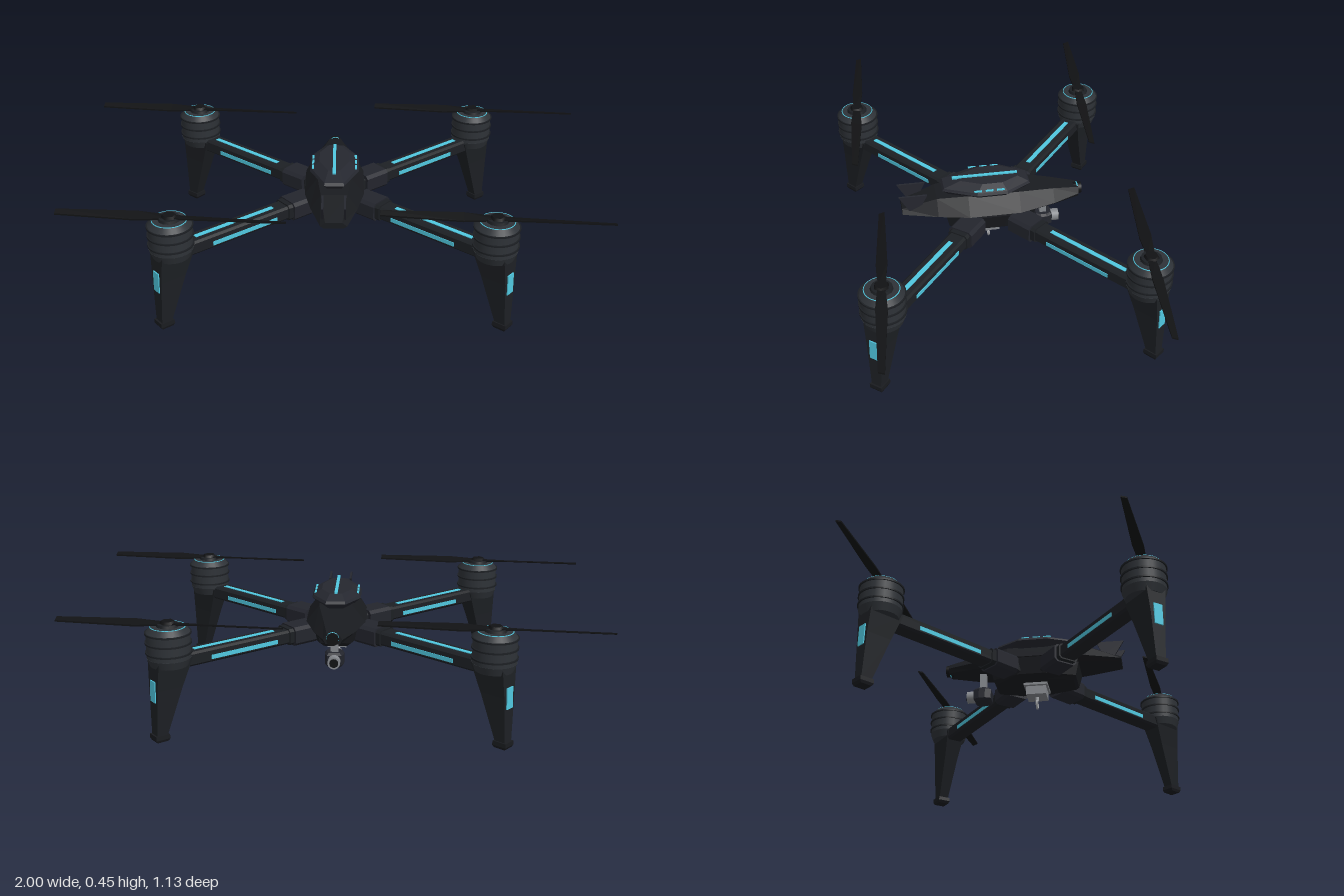
import * as THREE from 'three';

const mat = (color) => new THREE.MeshStandardMaterial({ color });
const M = {
  hull: mat(0x191b1f), arm: mat(0x1d2024), joint: mat(0x23252d), canopy: mat(0x25272f),
  motor: mat(0x2e3237), rib: mat(0x1c1f23), prop: mat(0x111214), glow: mat(0x50c8e0),
  grey: mat(0x85888d), pale: mat(0xa5a8ac),
};

function add(parent, name, geometry, material, x = 0, y = 0, z = 0) {
  const mesh = new THREE.Mesh(geometry, material);
  mesh.name = name;
  mesh.position.set(x, y, z);
  parent.add(mesh);
  return mesh;
}
const box = (w, h, d) => new THREE.BoxGeometry(w, h, d);
const cyl = (rTop, rBottom, h, n = 28) => new THREE.CylinderGeometry(rTop, rBottom, h, n);

// Flat-shaded skin over closed rings, each counter-clockwise about the loft axis
function loft(rings) {
  const pos = [];
  const tri = (a, b, c) => pos.push(...a, ...b, ...c);
  const n = rings[0].length;
  for (let s = 0; s < rings.length - 1; s++) {
    for (let i = 0; i < n; i++) {
      const j = (i + 1) % n;
      tri(rings[s][i], rings[s][j], rings[s + 1][j]);
      tri(rings[s][i], rings[s + 1][j], rings[s + 1][i]);
    }
  }
  const first = rings[0], last = rings[rings.length - 1];
  for (let i = 1; i < n - 1; i++) {
    tri(first[0], first[i + 1], first[i]);
    tri(last[0], last[i], last[i + 1]);
  }
  const g = new THREE.BufferGeometry();
  g.setAttribute('position', new THREE.Float32BufferAttribute(pos, 3));
  g.computeVertexNormals();
  return g;
}

// Eight-sided plan outline at height y
const plan = (y, w, zf, zb, end = 0.4) => [
  [w * end, y, zf], [w, y, zf * 0.35], [w, y, zb * 0.35], [w * end, y, zb],
  [-w * end, y, zb], [-w, y, zb * 0.35], [-w, y, zf * 0.35], [-w * end, y, zf],
];
// Rectangle at height y, from x0 to x1
const rect = (y, x0, x1, w) => [[x1, y, w], [x1, y, -w], [x0, y, -w], [x0, y, w]];

function createBody() {
  const g = new THREE.Group();
  g.name = 'body';
  // Faceted upper hull: z, half width, top half width, bottom, middle, top
  const hull = [
    [-0.345, 0.036, 0.022, 0.325, 0.342, 0.364], [-0.24, 0.078, 0.04, 0.32, 0.338, 0.382],
    [-0.1, 0.115, 0.065, 0.315, 0.335, 0.4], [0.1, 0.115, 0.065, 0.315, 0.335, 0.402],
    [0.22, 0.09, 0.05, 0.32, 0.335, 0.393], [0.355, 0.05, 0.032, 0.325, 0.333, 0.348],
  ].map(([z, w, t, b, m, top]) => [
    [w, m, z], [t, top, z], [-t, top, z], [-w, m, z], [-w * 0.75, b, z], [w * 0.75, b, z],
  ]);
  add(g, 'upperHull', loft(hull), M.hull);
  add(g, 'lowerHull', loft([
    plan(0.25, 0.075, 0.165, -0.145, 0.6), plan(0.265, 0.1, 0.175, -0.155, 0.6),
    plan(0.33, 0.118, 0.19, -0.17, 0.6),
  ]), M.hull);
  add(g, 'canopy', loft([
    plan(0.39, 0.065, 0.165, -0.12), plan(0.418, 0.095, 0.197, -0.147),
    plan(0.428, 0.09, 0.19, -0.14), plan(0.448, 0.058, 0.125, -0.1),
  ]), M.canopy);
  add(g, 'canopyLight', box(0.012, 0.008, 0.256), M.glow, 0, 0.449, 0.026);

  // Nose sensor
  const nose = add(g, 'noseSensor', cyl(0.023, 0.023, 0.03), M.prop, 0, 0.346, -0.345);
  nose.rotation.x = Math.PI / 2;
  add(g, 'noseRing', new THREE.TorusGeometry(0.022, 0.003, 8, 28), M.glow, 0, 0.346, -0.343);

  // Swept tail fins, side dashes
  const fin = new THREE.Shape([[0.285, 0.352], [0.328, 0.345], [0.367, 0.411], [0.257, 0.411]]
    .map(([z, y]) => new THREE.Vector2(z, y)));
  for (const s of [-1, 1]) {
    const geo = new THREE.ExtrudeGeometry(fin, { depth: 0.008, bevelEnabled: false });
    add(g, 'tailFin', geo, M.canopy, s * 0.042 + 0.004).rotation.y = -Math.PI / 2;
    for (const z of [-0.03, 0.025, 0.08])
      add(g, 'canopyDash', box(0.008, 0.004, 0.03), M.glow, s * 0.083, 0.433, z * 0.8);
    add(g, 'hullDash', box(0.006, 0.005, 0.02), M.glow, s * 0.114, 0.329, 0.085);
  }
  return g;
}

// Arm, motor and leg, built along +x
function createArm() {
  const g = new THREE.Group();
  g.name = 'arm';
  const R = 0.755;
  // Chamfered beam
  const section = (x, w, h, c) => [
    [h, w - c], [h - c, w], [c - h, w], [-h, w - c], [-h, c - w], [c - h, -w], [h - c, -w], [h, c - w],
  ].map(([y, z]) => [x, 0.296 + y, z]).reverse().map((p) => p);
  const beam = (x0, x1, w, h, c) => loft([section(x0, w, h, c), section(x1, w, h, c)].map((r) => r.reverse()));
  add(g, 'beam', beam(0.08, R, 0.036, 0.027, 0.008), M.arm);
  add(g, 'socket', beam(0.13, 0.235, 0.05, 0.037, 0.012), M.joint);
  add(g, 'socketCollar', beam(0.235, 0.255, 0.042, 0.032, 0.01), M.rib);
  add(g, 'topLight', box(0.35, 0.005, 0.018), M.glow, 0.48, 0.323);
  for (const s of [-1, 1])
    add(g, 'sideLight', box(0.29, 0.016, 0.005), M.glow, 0.455, 0.29, s * 0.036);

  // Tapered leg with foot and outer light panel
  add(g, 'leg', loft([
    rect(0.022, 0.786, 0.829, 0.02), rect(0.2, 0.722, 0.825, 0.031), rect(0.31, 0.68, 0.82, 0.042),
  ]), M.arm);
  add(g, 'foot', loft([
    rect(0, 0.785, 0.83, 0.022), rect(0.01, 0.778, 0.836, 0.026), rect(0.026, 0.78, 0.836, 0.025),
  ]), M.hull);
  add(g, 'legLight', box(0.006, 0.08, 0.036), M.glow, 0.826, 0.195).rotation.z = 0.025;

  // Ribbed motor housing
  const motor = new THREE.Group();
  motor.name = 'motor';
  motor.position.x = R;
  g.add(motor);
  add(motor, 'motorBase', cyl(0.081, 0.07, 0.03), M.motor, 0, 0.3);
  add(motor, 'motorCan', cyl(0.08, 0.08, 0.096), M.motor, 0, 0.362);
  add(motor, 'motorTop', cyl(0.064, 0.08, 0.02), M.motor, 0, 0.42);
  for (const y of [0.334, 0.371, 0.407])
    add(motor, 'motorRib', cyl(0.085, 0.085, 0.006), M.rib, 0, y);
  const ring = add(motor, 'motorRing', new THREE.TorusGeometry(0.063, 0.002, 6, 32), M.glow, 0, 0.429);
  ring.rotation.x = Math.PI / 2;
  add(motor, 'hubBase', cyl(0.038, 0.042, 0.012, 12), M.rib, 0, 0.434);
  add(motor, 'hubCap', cyl(0.024, 0.03, 0.012, 6), M.prop, 0, 0.444);
  return g;
}

// Two-bladed propeller, pitched in opposite senses on each side
function createPropeller() {
  const rings = [[-0.417, 0.011, -0.004], [-0.12, 0.021, -0.006], [0, 0.014, 0], [0.12, 0.021, 0.006], [0.417, 0.011, 0.004]]
    .map(([x, c, p]) => [[x, -p - 0.003, -c], [x, -p + 0.003, -c], [x, p + 0.003, c], [x, p - 0.003, c]]);
  return loft(rings);
}

function createPayload() {
  const g = new THREE.Group();
  g.name = 'payload';
  // Winch box with hook
  add(g, 'winchPlate', box(0.1, 0.012, 0.095), M.grey, 0, 0.246, 0.012);
  add(g, 'winchBox', box(0.075, 0.04, 0.08), M.grey, 0, 0.225, 0.012);
  add(g, 'hookStem', cyl(0.008, 0.006, 0.02, 12), M.pale, 0, 0.198, 0.012);
  add(g, 'hookRing', new THREE.TorusGeometry(0.016, 0.004, 8, 24), M.pale, 0, 0.174, 0.012);

  // Camera under the nose
  add(g, 'cameraHanger', box(0.03, 0.09, 0.026), M.grey, 0, 0.28, -0.207);
  add(g, 'cameraBody', loft([
    plan(0.195, 0.03, 0.028, -0.028, 0.7), plan(0.204, 0.037, 0.035, -0.035, 0.75),
    plan(0.243, 0.037, 0.035, -0.035, 0.75), plan(0.252, 0.03, 0.028, -0.028, 0.7),
  ]), M.joint, 0, 0, -0.207);
  const lens = add(g, 'cameraLens', cyl(0.024, 0.024, 0.03), M.grey, 0, 0.223, -0.256);
  lens.rotation.x = Math.PI / 2;
  const glass = add(g, 'lensGlass', cyl(0.017, 0.017, 0.006), M.prop, 0, 0.223, -0.271);
  glass.rotation.x = Math.PI / 2;
  return g;
}

export function createModel() {
  const model = new THREE.Group();
  model.name = 'quadcopter';
  model.add(createBody(), createPayload());
  for (const sx of [-1, 1]) {
    for (const sz of [-1, 1]) {
      const arm = createArm();
      arm.rotation.y = Math.atan2(-sz * 0.479, sx * 0.583);
      model.add(arm);
      const prop = add(model, 'propeller', createPropeller(), M.prop, sx * 0.583, 0.438, sz * 0.479);
      prop.rotation.y = -0.09;
    }
  }
  return model;
}
